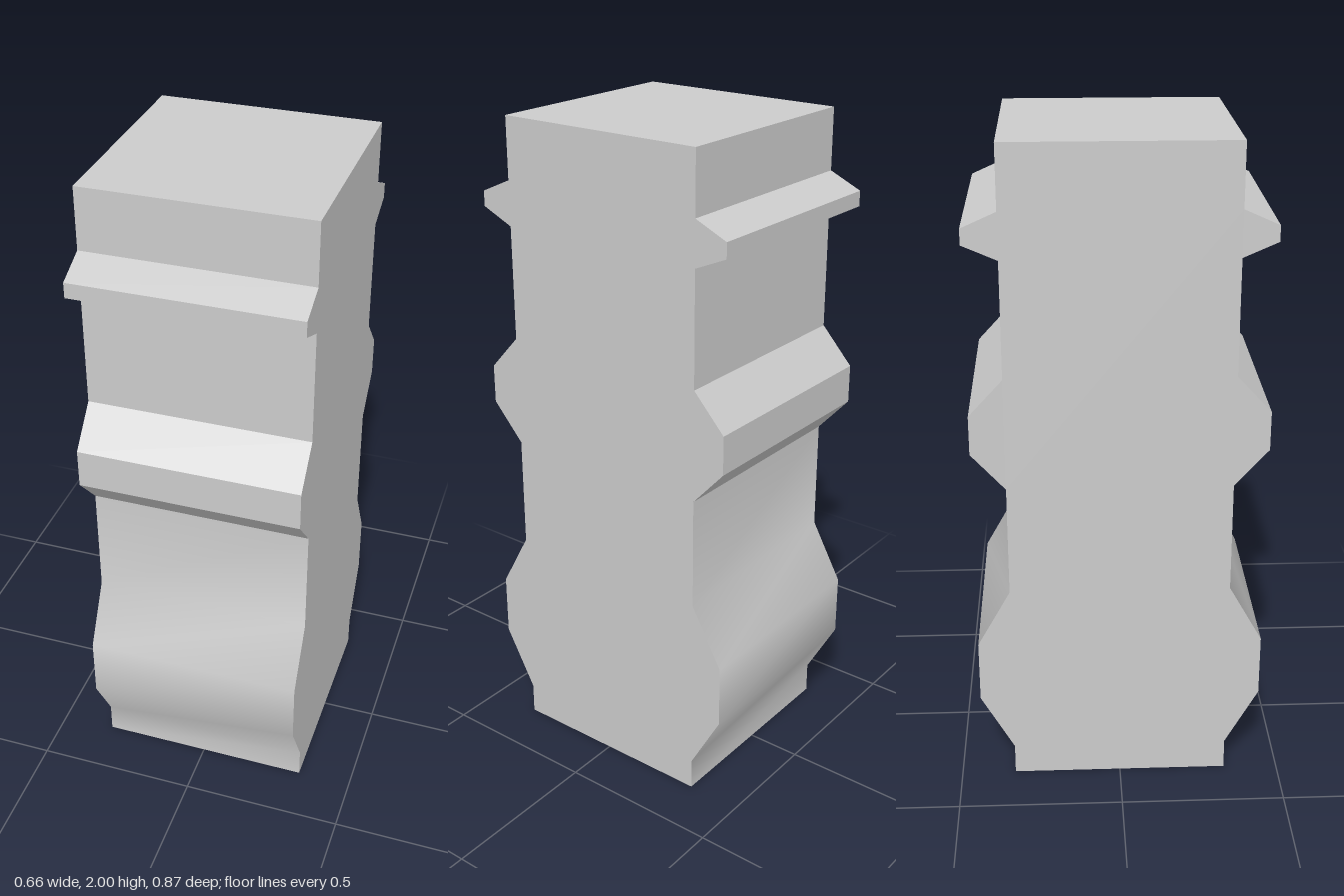
import * as THREE from 'three';
import { toCreasedNormals } from 'three/addons/utils/BufferGeometryUtils.js';

const HALF = 0.332;   // half width of the square shaft
const BULGE = 0.433;  // half depth at the ridges

// Each ridge: [start, full depth, end of full depth, back to shaft] heights
const RIDGES = [
  [0.097, 0.28, 0.472, 0.653],   // soft swelling at the foot
  [0.995, 1.107, 1.225, 1.335],  // middle band
  [1.68, 1.724, 1.77, 1.815],    // thin upper band
];

export function createModel() {
  const group = new THREE.Group();
  group.name = 'carvedPost';

  // Side profile, going up the one face and mirrored down the other
  const side = [[HALF, 0]];
  for (const [a, b, c, d] of RIDGES) {
    side.push([HALF, a], [BULGE, b], [BULGE, c], [HALF, d]);
  }
  side.push([HALF, 2]);
  const mirrored = side.map(([z, y]) => [-z, y]).reverse();
  const shape = new THREE.Shape([...side, ...mirrored].map(([z, y]) => new THREE.Vector2(z, y)));

  const extruded = new THREE.ExtrudeGeometry(shape, { depth: HALF * 2, bevelEnabled: false });
  extruded.translate(0, 0, -HALF);
  extruded.rotateY(Math.PI / 2);

  // The shallow foot swelling shades smooth, the steeper bands stay sharp
  const geometry = toCreasedNormals(extruded, THREE.MathUtils.degToRad(35));
  const post = new THREE.Mesh(geometry, new THREE.MeshStandardMaterial({ color: 0xcccccc }));
  post.name = 'post';
  group.add(post);
  return group;
}
